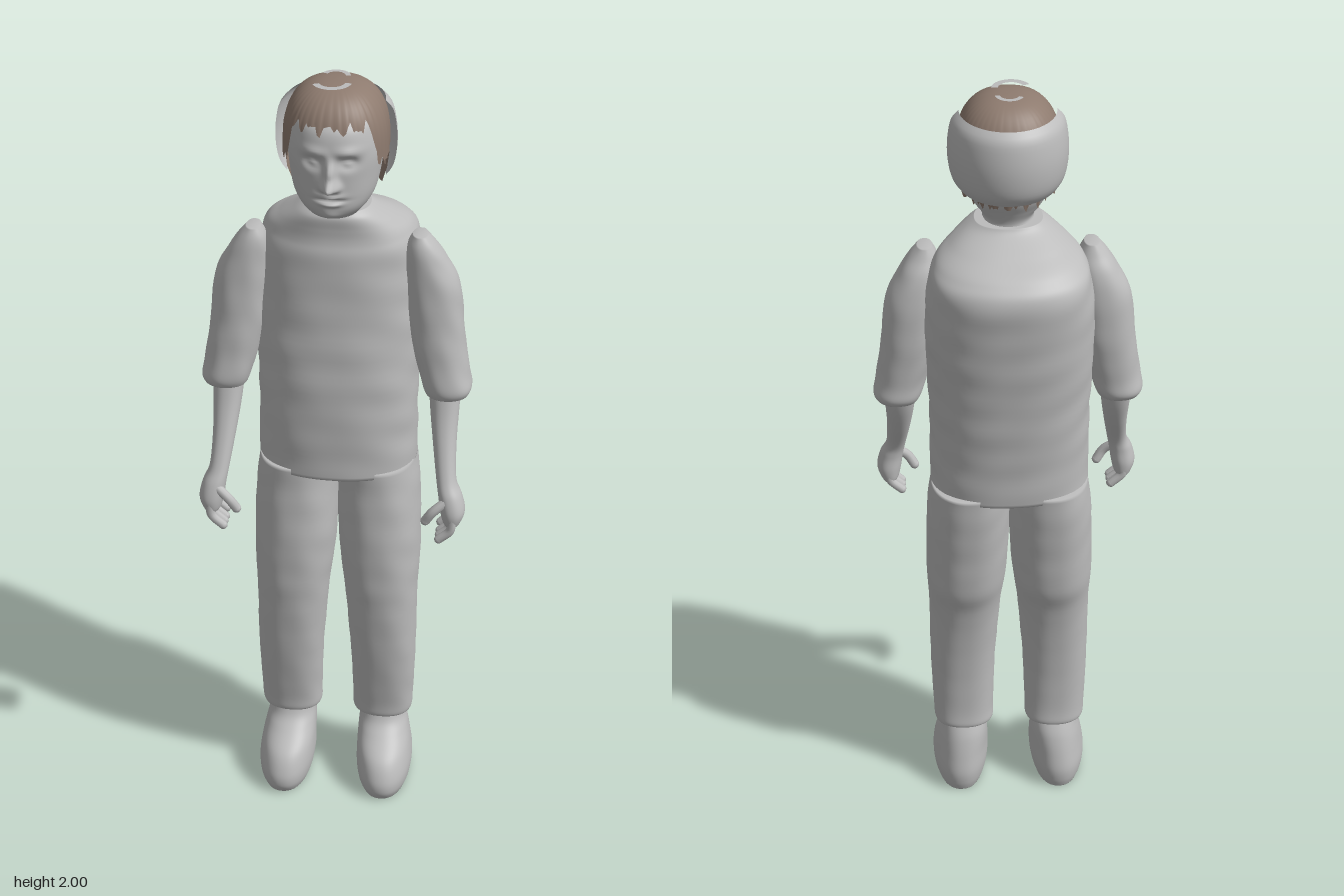
import * as THREE from 'three';

const cloth = new THREE.MeshStandardMaterial({ color: 0xbcbcbc });
cloth.name = 'plain grey';
const hairMat = new THREE.MeshStandardMaterial({ color: 0x8e7b6f, side: THREE.DoubleSide });
hairMat.name = 'hair brown';
const shellMat = new THREE.MeshStandardMaterial({ color: 0xbcbcbc, side: THREE.DoubleSide });
shellMat.name = 'open grey';

// Surface from a grid of points, rows running top to bottom, columns from +x towards +z
function gridGeometry(rows, cols, closed, point) {
  const pos = [], idx = [];
  for (let i = 0; i <= rows; i++)
    for (let j = 0; j < cols; j++) pos.push(...point(i / rows, j / (closed ? cols : cols - 1)));
  for (let i = 0; i < rows; i++)
    for (let j = 0; j < (closed ? cols : cols - 1); j++) {
      const k = (j + 1) % cols, a = i * cols, b = a + cols;
      idx.push(a + j, a + k, b + j, a + k, b + k, b + j);
    }
  const g = new THREE.BufferGeometry();
  g.setAttribute('position', new THREE.Float32BufferAttribute(pos, 3));
  g.setIndex(idx);
  g.computeVertexNormals();
  return g;
}

const mix = THREE.MathUtils.lerp;
const smooth = THREE.MathUtils.smoothstep;
const bump = (x, y, cx, cy, wx, wy) => Math.exp(-(((x - cx) / wx) ** 2) - ((y - cy) / wy) ** 2);

function catmull(a, b, c, d, t) {
  return 0.5 * (2 * b + (c - a) * t + (2 * a - 5 * b + 4 * c - d) * t * t + (3 * b - a - 3 * c + d) * t ** 3);
}

// Closed body from sections [y, x min, x max, z back, z front], top to bottom
function loft(sections, { side = 1, power = 2.2, wrinkle = 0, rule = null, steps = 6, cols = 56 } = {}) {
  const n = sections.length - 1;
  const at = i => sections[Math.min(n, Math.max(0, i))];
  const close = s => [s[0], ...[0, 0].map(() => (s[1] + s[2]) / 2), ...[0, 0].map(() => (s[3] + s[4]) / 2)];
  const rings = [close(sections[0])];
  for (let i = 0; i < n; i++)
    for (let k = 0; k < steps; k++)
      rings.push(at(i).map((_, c) => catmull(at(i - 1)[c], at(i)[c], at(i + 1)[c], at(i + 2)[c], k / steps)));
  rings.push(sections[n], close(sections[n]));
  const R = rings.length - 1;
  return gridGeometry(R, cols, true, (u, v) => {
    const [y, x0, x1, z0, z1] = rings[Math.round(u * R)];
    const a = v * Math.PI * 2, c = Math.cos(a), s = Math.sin(a);
    const e = 2 / power;
    const fold = 1 + wrinkle * (Math.sin(y * 43 + 3 * c) * Math.sin(4 * a + y * 11) + 0.6 * Math.sin(y * 71 - 5 * s));
    const px = (x0 + x1) / 2 + (x1 - x0) / 2 * Math.sign(c) * Math.abs(c) ** e * fold;
    const pz = (z0 + z1) / 2 + (z1 - z0) / 2 * Math.sign(s) * Math.abs(s) ** e * fold;
    const p = [side < 0 ? (x0 + x1) - px : px, y, pz];
    if (side < 0) p[0] = px - (x0 + x1);
    return rule ? rule(p, s) : p;
  });
}

// Mirror sections to the other side of the body
const TORSO = [
  [1.69, -0.08, 0.08, -0.045, 0.09], [1.675, -0.1, 0.1, -0.06, 0.1], [1.645, -0.138, 0.138, -0.115, 0.1],
  [1.61, -0.175, 0.175, -0.175, 0.1], [1.56, -0.193, 0.193, -0.203, 0.108], [1.42, -0.202, 0.202, -0.192, 0.115],
  [1.25, -0.197, 0.197, -0.175, 0.128], [1.1, -0.195, 0.195, -0.162, 0.132], [0.975, -0.197, 0.197, -0.155, 0.13]];
const SLEEVE = [
  [1.617, 0.18, 0.215, 0.0, 0.055], [1.59, 0.167, 0.237, -0.012, 0.066], [1.55, 0.162, 0.262, -0.03, 0.073],
  [1.48, 0.163, 0.294, -0.043, 0.078], [1.36, 0.175, 0.308, -0.043, 0.085], [1.26, 0.198, 0.322, -0.037, 0.092],
  [1.215, 0.21, 0.331, -0.037, 0.095], [1.195, 0.218, 0.324, -0.025, 0.088]];
const FOREARM = [
  [1.22, 0.225, 0.305, -0.01, 0.072], [1.15, 0.232, 0.302, 0.012, 0.09], [1.08, 0.242, 0.3, 0.045, 0.115],
  [1.0, 0.255, 0.304, 0.09, 0.148], [0.96, 0.262, 0.32, 0.098, 0.168], [0.92, 0.268, 0.329, 0.095, 0.178],
  [0.89, 0.275, 0.32, 0.098, 0.174], [0.878, 0.285, 0.31, 0.105, 0.165]];
const LEG = [
  [0.99, 0.0, 0.195, -0.15, 0.115], [0.9, 0.0, 0.205, -0.145, 0.118], [0.78, 0.002, 0.21, -0.13, 0.123],
  [0.68, 0.01, 0.21, -0.12, 0.122], [0.58, 0.022, 0.206, -0.09, 0.115], [0.4, 0.036, 0.205, -0.066, 0.095],
  [0.25, 0.042, 0.2, -0.06, 0.072], [0.2, 0.043, 0.197, -0.062, 0.066], [0.192, 0.055, 0.185, -0.05, 0.056]];
const SHOE = [
  [0.215, 0.062, 0.175, -0.05, 0.052], [0.175, 0.06, 0.18, -0.07, 0.068], [0.145, 0.058, 0.188, -0.08, 0.1],
  [0.105, 0.057, 0.197, -0.089, 0.152], [0.06, 0.057, 0.203, -0.096, 0.177], [0.025, 0.062, 0.2, -0.093, 0.18],
  [0, 0.07, 0.192, -0.085, 0.168]];
const HEAD = [
  [1.975, -0.03, 0.03, 0.0, 0.06], [1.96, -0.065, 0.065, -0.035, 0.1], [1.93, -0.093, 0.093, -0.065, 0.14],
  [1.9, -0.103, 0.103, -0.078, 0.157], [1.85, -0.11, 0.11, -0.08, 0.163], [1.8, -0.106, 0.106, -0.075, 0.163],
  [1.755, -0.097, 0.097, -0.06, 0.163], [1.725, -0.082, 0.082, -0.045, 0.16], [1.7, -0.064, 0.064, -0.035, 0.14],
  [1.68, -0.062, 0.062, -0.035, 0.098], [1.63, -0.068, 0.068, -0.04, 0.088]];

// Facial relief: nose, brows, eye sockets and lids, lips and chin
function faceRule([x, y, z], s) {
  if (s > 0.2) {
    const ax = Math.abs(x);
    z += 0.046 * bump(ax, y, 0, 1.795, 0.014, 0.014) + 0.024 * bump(ax, y, 0, 1.825, 0.011, 0.025)
      + 0.012 * bump(ax, y, 0.017, 1.788, 0.009, 0.01) + 0.007 * bump(ax, y, 0.04, 1.872, 0.03, 0.012)
      - 0.016 * bump(ax, y, 0.04, 1.845, 0.022, 0.014) + 0.009 * bump(ax, y, 0.04, 1.843, 0.012, 0.007)
      + 0.012 * bump(ax, y, 0, 1.766, 0.025, 0.007) - 0.008 * bump(ax, y, 0, 1.755, 0.03, 0.004)
      + 0.011 * bump(ax, y, 0, 1.746, 0.022, 0.006) + 0.007 * bump(ax, y, 0, 1.712, 0.025, 0.013);
  }
  return [x, y, z];
}

// Hair dome with a hairline that drops at the temples and nape
function hairGeometry() {
  return gridGeometry(24, 120, true, (u, v) => {
    const a = v * Math.PI * 2, c = Math.cos(a), f = Math.sin(a);
    const jag = 0.009 * Math.sin(17 * a) + 0.007 * Math.sin(31 * a + 1) + 0.004 * Math.sin(53 * a);
    let line = mix(1.755, 1.825, smooth(f, -0.05, 0.08));
    line = mix(line, 1.925, smooth(f, 0.5, 0.72)) + jag;
    const y = mix(1.998, line, u * u);
    const h = Math.max(0, (y - 1.85) / 0.148);
    let r = Math.max(0, 1 - h ** 2.6) ** (1 / 2.6);
    r *= 1 - 0.25 * smooth(1.85 - y, 0, 0.11) * smooth(-f, -0.1, 0.2);
    r *= 1 + 0.012 * Math.sin(40 * a) * u;
    const e = 2 / 2.3;
    return [0.122 * r * Math.sign(c) * Math.abs(c) ** e, y,
      0.03 + (f > 0 ? 0.136 : 0.121) * r * Math.sign(f) * Math.abs(f) ** e];
  });
}

// Open half shell behind the head
function shellGeometry() {
  const prof = [[1.955, 0.113], [1.935, 0.13], [1.9, 0.138], [1.86, 0.141], [1.82, 0.138], [1.79, 0.13], [1.768, 0.115]];
  const curve = new THREE.SplineCurve(prof.map(p => new THREE.Vector2(p[1], p[0])));
  return gridGeometry(18, 40, false, (u, v) => {
    const p = curve.getPoint(u), a = Math.PI * (1 + v);
    return [p.x * Math.cos(a), p.y, 0.04 + 1.06 * p.x * Math.sin(a)];
  });
}

export function createModel() {
  const model = new THREE.Group();
  const add = (name, geo, mat = cloth) => {
    const m = new THREE.Mesh(geo, mat);
    m.name = name;
    model.add(m);
    return m;
  };

  add('shirt', loft(TORSO, { power: 2.35, wrinkle: 0.007, cols: 80, steps: 9 }));
  add('head', loft(HEAD, { rule: faceRule, cols: 140, steps: 10 }));
  add('hair', hairGeometry(), hairMat);
  add('headShell', shellGeometry(), shellMat);

  // Bare patches on the crown
  for (const [x, z, r, start] of [[-0.003, 0.02, 0.034, 0.1], [-0.008, 0.055, 0.046, Math.PI + 0.4]]) {
    const patch = add('crownPatch', new THREE.RingGeometry(r * 0.66, r, 24, 1, start, Math.PI - 0.5), shellMat);
    patch.rotation.x = -Math.PI / 2;
    patch.position.set(x, 2, z);
  }

  for (const side of [1, -1]) {
    const tag = side > 0 ? 'left' : 'right';
    // Sections are flipped in x for the right side
    const flip = rows => rows.map(([y, a, b, c, d]) => side > 0 ? [y, a, b, c, d] : [y, -b, -a, c, d]);
    add(tag + 'Sleeve', loft(flip(SLEEVE), { wrinkle: 0.012 }));
    add(tag + 'Forearm', loft(flip(FOREARM)));
    add(tag + 'TrouserLeg', loft(flip(LEG), { power: 2.3, wrinkle: 0.006 }));
    add(tag + 'Shoe', loft(flip(SHOE)));

    // Fingers and thumb
    const digit = (name, pts, r) => {
      const v = pts.map(p => new THREE.Vector3(p[0] * side, p[1], p[2]));
      add(name, new THREE.TubeGeometry(new THREE.CatmullRomCurve3(v), 10, r, 10));
      const tip = add(name + 'Tip', new THREE.SphereGeometry(r, 10, 8));
      tip.position.copy(v[v.length - 1]);
    };
    for (let i = 0; i < 4; i++) {
      const z = 0.107 + 0.02 * i, low = i === 0 ? 0.012 : 0;
      digit(tag + 'Finger', [[0.3, 0.91, z], [0.296, 0.875 + low, z], [0.268, 0.847 + low, z]], 0.011);
    }
    digit(tag + 'Thumb', [[0.288, 0.955, 0.155], [0.252, 0.925, 0.166], [0.234, 0.897, 0.163]], 0.012);
  }
  return model;
}
